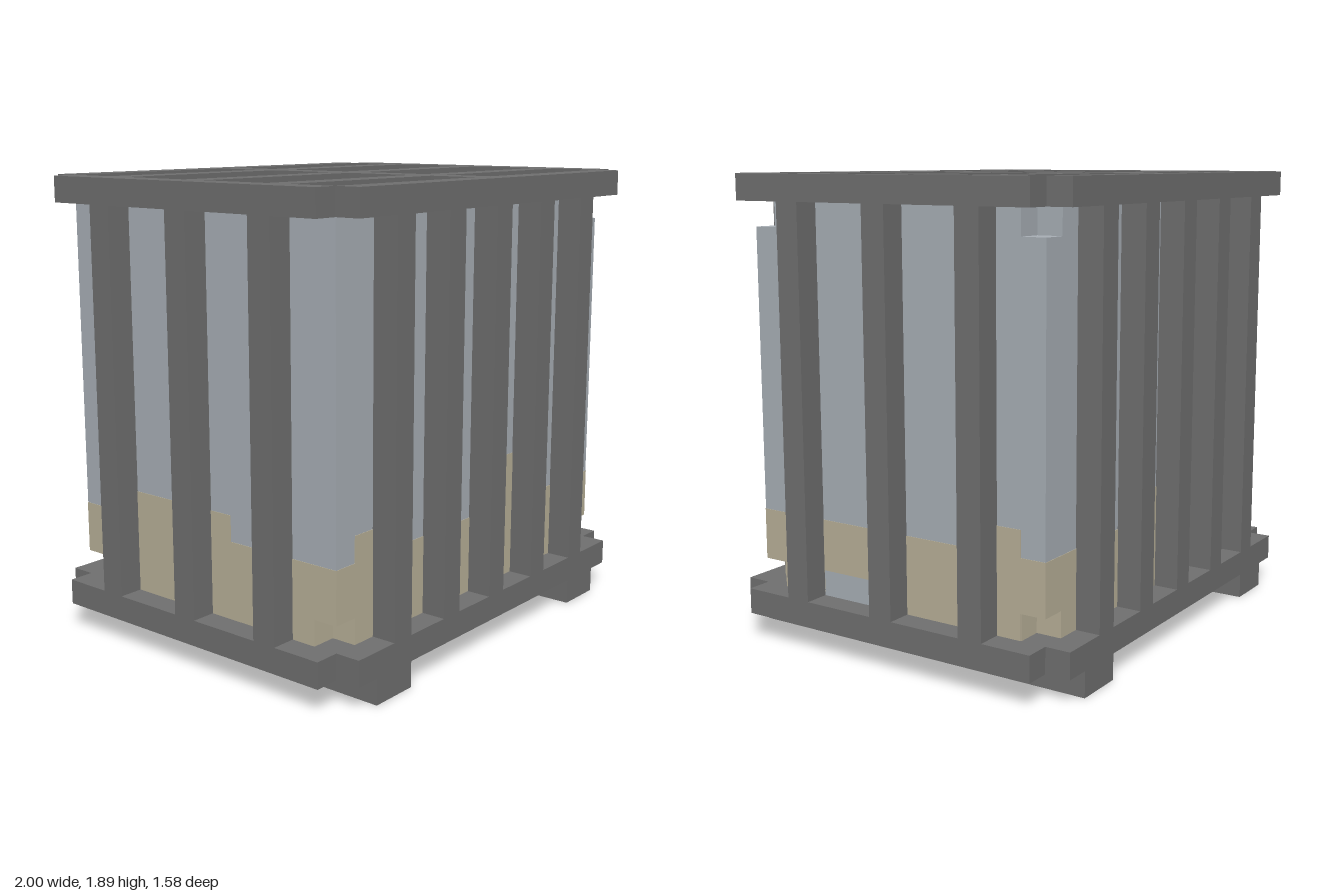
import * as THREE from 'three';

const U = 2 / 19; // one block

export function createModel() {
  const model = new THREE.Group();
  const frameGrey = new THREE.MeshStandardMaterial({ color: 0x707070 });
  const glassBlue = new THREE.MeshStandardMaterial({ color: 0xa9b0b7 });
  const sandTan = new THREE.MeshStandardMaterial({ color: 0xb9b199 });
  frameGrey.name = 'frameGrey';
  glassBlue.name = 'glassBlue';
  sandTan.name = 'sandTan';

  // Box given by its centre and size, in blocks
  function box(name, mat, [x, y, z], [w, h, d]) {
    const mesh = new THREE.Mesh(new THREE.BoxGeometry(w * U, h * U, d * U), mat);
    mesh.position.set(x * U, y * U, z * U);
    mesh.name = name;
    model.add(mesh);
  }

  // Runners and floor
  for (const s of [-1, 1]) box('runner', frameGrey, [s * 6.5, 0.5, 0], [2, 1, 15]);
  box('floor', frameGrey, [0, 1.5, 0], [17, 1, 13]);

  // Rails and upright slats on all four sides
  for (const s of [-1, 1]) {
    for (const y of [1.5, 17.5]) {
      box('longRail', frameGrey, [0, y, s * 7], [17, 1, 1]);
      box('sideRail', frameGrey, [s * 9, y, 0], [1, 1, 13]);
    }
    for (const x of [-6, -3, 0, 3, 6]) box('longSideSlat', frameGrey, [x, 9.5, s * 7], [1, 15, 1]);
    for (const z of [-4, 0, 4]) box('shortSideSlat', frameGrey, [s * 9, 9.5, z], [1, 15, 1]);
  }

  // Lid bars: one lengthwise, the others split around it
  box('lidSpine', frameGrey, [0, 17.5, 0], [1, 1, 13]);
  for (const z of [-4, 0, 4]) {
    for (const s of [-1, 1]) box('lidBar', frameGrey, [s * 4.5, 17.5, z], [8, 1, 1]);
  }

  // Glass tank in three layers, with one-block notches at the corners
  function tankLayer(y0, y1, notchLeft, notchRight) {
    const a = notchRight ? 1 : 0, b = notchLeft ? 1 : 0;
    const pts = [
      [-8.5 + a, -6.5], [8.5 - b, -6.5], [8.5 - b, -6.5 + b], [8.5, -6.5 + b],
      [8.5, 6.5 - b], [8.5 - b, 6.5 - b], [8.5 - b, 6.5], [-8.5 + a, 6.5],
      [-8.5 + a, 6.5 - a], [-8.5, 6.5 - a], [-8.5, -6.5 + a], [-8.5 + a, -6.5 + a],
    ].filter((p, i, all) => i === 0 || p.join() !== all[i - 1].join())
      .map(([x, z]) => new THREE.Vector2(x * U, z * U));
    if (pts[0].equals(pts[pts.length - 1])) pts.pop();
    const geo = new THREE.ExtrudeGeometry(new THREE.Shape(pts), { depth: (y1 - y0) * U, bevelEnabled: false });
    geo.rotateX(-Math.PI / 2);
    geo.translate(0, y0 * U, 0);
    const mesh = new THREE.Mesh(geo, glassBlue);
    mesh.name = 'glassTank';
    model.add(mesh);
  }
  tankLayer(2, 3, true, true);
  tankLayer(3, 16, false, false);
  tankLayer(16, 17, true, false);

  // Sand seen through the glass: column heights along each wall
  const T = 0.04;
  const front = [3, 4, 4, 2, 3, 2, 2, 3, 3, 4, 5, 5, 4, 3, 3, 4, 3]; // from -x to +x
  const back = [3, 4, 3, 3, 4, 3, 3, 4, 4, 4, 3, 2, 3, 3, 3, 3, 3];
  const left = [3, 4, 3, 3, 3, 3, 3, 3, 3, 3, 3, 3, 3]; // from -z to +z
  const right = [3, 3, 3, 4, 4, 3, 3, 4, 3, 3, 3, 3, 3];
  function sandWall(name, heights, place, size, isBare = () => false) {
    heights.forEach((h, i) => {
      const corner = i === 0 || i === heights.length - 1;
      const base = corner || isBare(i) ? 3 : 2;
      box(name, sandTan, place(i, (base + 2 + h) / 2), size(2 + h - base));
    });
  }
  sandWall('frontSand', front, (i, y) => [i - 8, y, 6.5], (h) => [1, h, T]);
  sandWall('backSand', back, (i, y) => [i - 8, y, -6.5], (h) => [1, h, T]);
  sandWall('leftSand', left, (i, y) => [8.5, y, i - 6], (h) => [T, h, 1], (i) => i >= 7 && i <= 9);
  sandWall('rightSand', right, (i, y) => [-8.5, y, i - 6], (h) => [T, h, 1]);

  // Sand inside the lower corner notches
  for (const sx of [-1, 1]) {
    for (const sz of [-1, 1]) {
      box('notchSand', sandTan, [sx * 8, 3, sz * 6], [1, T, 1]);
      box('notchSand', sandTan, [sx * 7.5, 2.5, sz * 6], [T, 1, 1]);
      if (sx < 0 || sz < 0) box('notchSand', sandTan, [sx * 8, 2.5, sz * 5.5], [1, 1, T]);
    }
  }
  return model;
}
